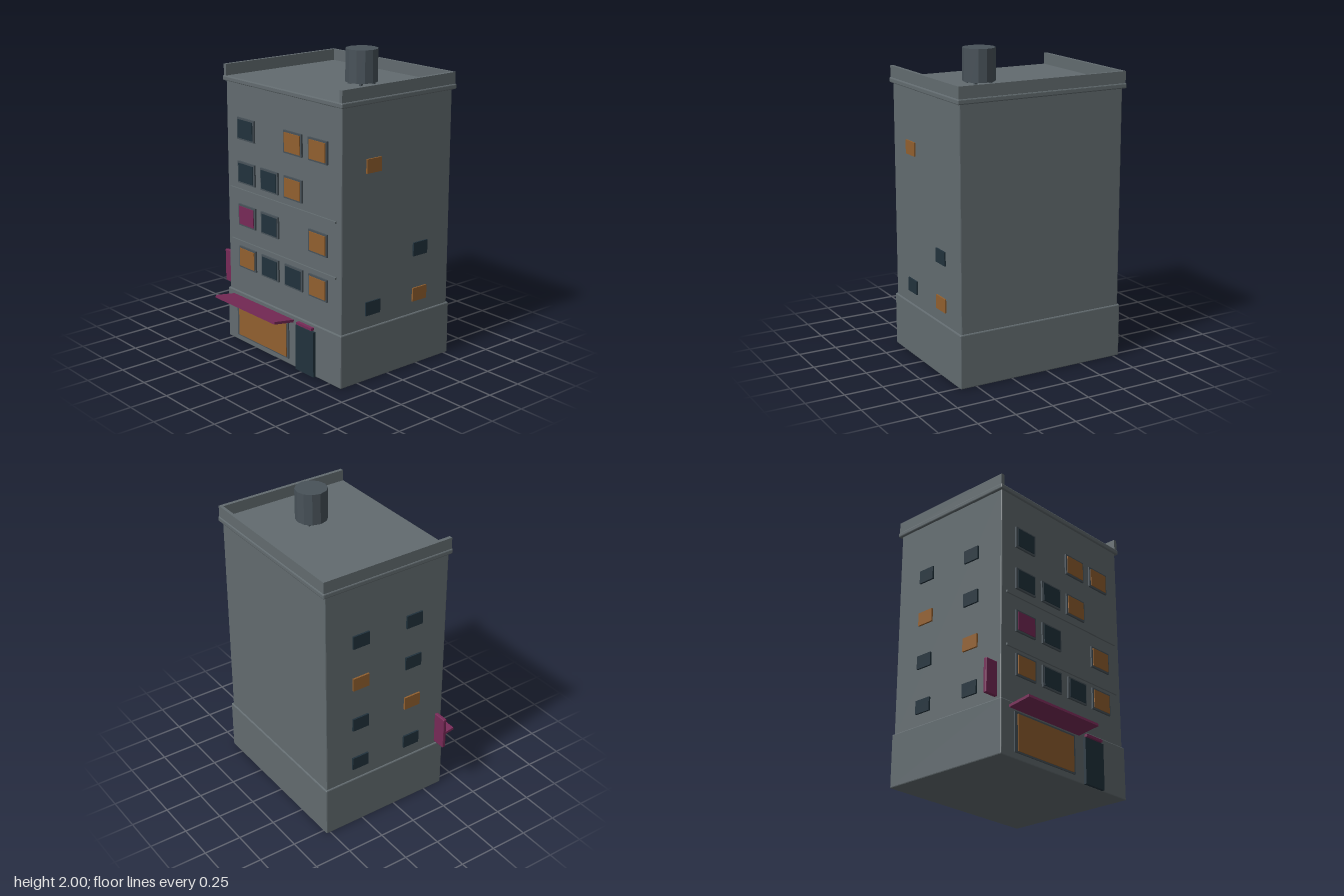
import * as THREE from 'three';
import { RoundedBoxGeometry } from 'three/addons/geometries/RoundedBoxGeometry.js';

const mat = (color) => new THREE.MeshStandardMaterial({ color, flatShading: true });
const wall = mat(0x626b6f), trim = mat(0x485259), dark = mat(0x21323c);
const amber = mat(0x92602f), magenta = mat(0x772a57);

export function createModel() {
  const model = new THREE.Group();

  // Box given by its min and max on each axis, optionally with bevelled edges
  function box(name, material, [x0, x1], [y0, y1], [z0, z1], bevel = 0, parent = model) {
    const s = [x1 - x0, y1 - y0, z1 - z0];
    const geo = bevel ? new RoundedBoxGeometry(...s, 1, bevel) : new THREE.BoxGeometry(...s);
    const mesh = new THREE.Mesh(geo, material);
    mesh.position.set((x0 + x1) / 2, (y0 + y1) / 2, (z0 + z1) / 2);
    mesh.name = name;
    parent.add(mesh);
    return mesh;
  }
  const span = (c, size) => [c - size / 2, c + size / 2];

  // Ground floor, upper storeys and cornice
  box('groundFloor', wall, [-0.54, 0.61], [0, 0.347], [-0.53, 0.388], 0.007);
  box('upperFloors', wall, [-0.53, 0.6], [0.33, 1.755], [-0.52, 0.377], 0.007);
  box('cornice', wall, [-0.548, 0.619], [1.745, 1.778], [-0.541, 0.393], 0.007);

  // Parapet on three sides, open at the front
  const parapetY = [1.77, 1.852];
  box('parapetRight', wall, [-0.542, -0.518], parapetY, [-0.535, 0.386]);
  box('parapetLeft', wall, [0.588, 0.612], parapetY, [-0.535, 0.386]);
  box('parapetBack', wall, [-0.542, 0.612], parapetY, [-0.535, -0.515]);

  // Roof tank on four short legs
  const tank = new THREE.Group();
  tank.name = 'roofTank';
  tank.position.set(0.239, 0, -0.094);
  const drum = new THREE.Mesh(new THREE.CylinderGeometry(0.103, 0.103, 0.205, 12), trim);
  drum.name = 'tankDrum';
  drum.position.y = 1.8975;
  tank.add(drum);
  for (const x of [-0.053, 0.053]) for (const z of [-0.053, 0.053])
    box('tankLeg', trim, span(x, 0.016), [1.77, 1.8], span(z, 0.016), 0, tank);
  model.add(tank);

  // Front windows: one letter per column, '.' leaves a blank wall
  const glass = { d: dark, a: amber, m: magenta };
  ['d.aa', 'dda.', 'md.a', 'adda'].forEach((row, r) => {
    [...row].forEach((key, c) => {
      if (key === '.') return;
      const x = -0.32 + c * 0.237, y = 1.457 - r * 0.2867;
      box('windowFrame', trim, span(x, 0.175), span(y, 0.143), [0.37, 0.389]);
      box('windowPane', glass[key], span(x, 0.15), span(y, 0.12), [0.37, 0.394]);
    });
  });

  // String courses between storeys
  for (const y of [0.7, 1.05])
    box('stringCourse', wall, [-0.49, 0.555], span(y, 0.013), [0.37, 0.389]);

  // Small side windows: top row first, columns are front then back
  const sideWindows = (name, x, rows) => rows.forEach((row, r) => {
    [...row].forEach((key, c) => {
      if (key === '.') return;
      box(name, glass[key], span(x, 0.024), span(1.37 - r * 0.3, 0.088),
        span(c ? -0.268 : 0.127, 0.118));
    });
  });
  sideWindows('leftSideWindow', 0.598, ['a.', '..', '.d', 'da']);
  sideWindows('rightSideWindow', -0.53, ['dd', 'da', 'ad', 'dd']);

  // Shop window with awning
  box('shopWindowFrame', trim, [-0.43, 0.11], [0.04, 0.29], [0.38, 0.396]);
  box('shopWindowPane', amber, [-0.407, 0.093], [0.05, 0.277], [0.38, 0.401]);
  const awning = box('awning', magenta, [-0.472, 0.157], span(0.322, 0.017), span(0.465, 0.155));
  awning.rotation.x = -0.15;

  // Door with a thin strip over it
  box('door', dark, [0.197, 0.371], [0.003, 0.302], [0.38, 0.407]);
  box('doorStrip', magenta, [0.21, 0.357], [0.309, 0.326], [0.38, 0.411]);

  // Blade sign on the right side wall
  box('bladeSign', magenta, [-0.623, -0.529], [0.363, 0.583], [0.324, 0.348], 0.005);

  return model;
}
